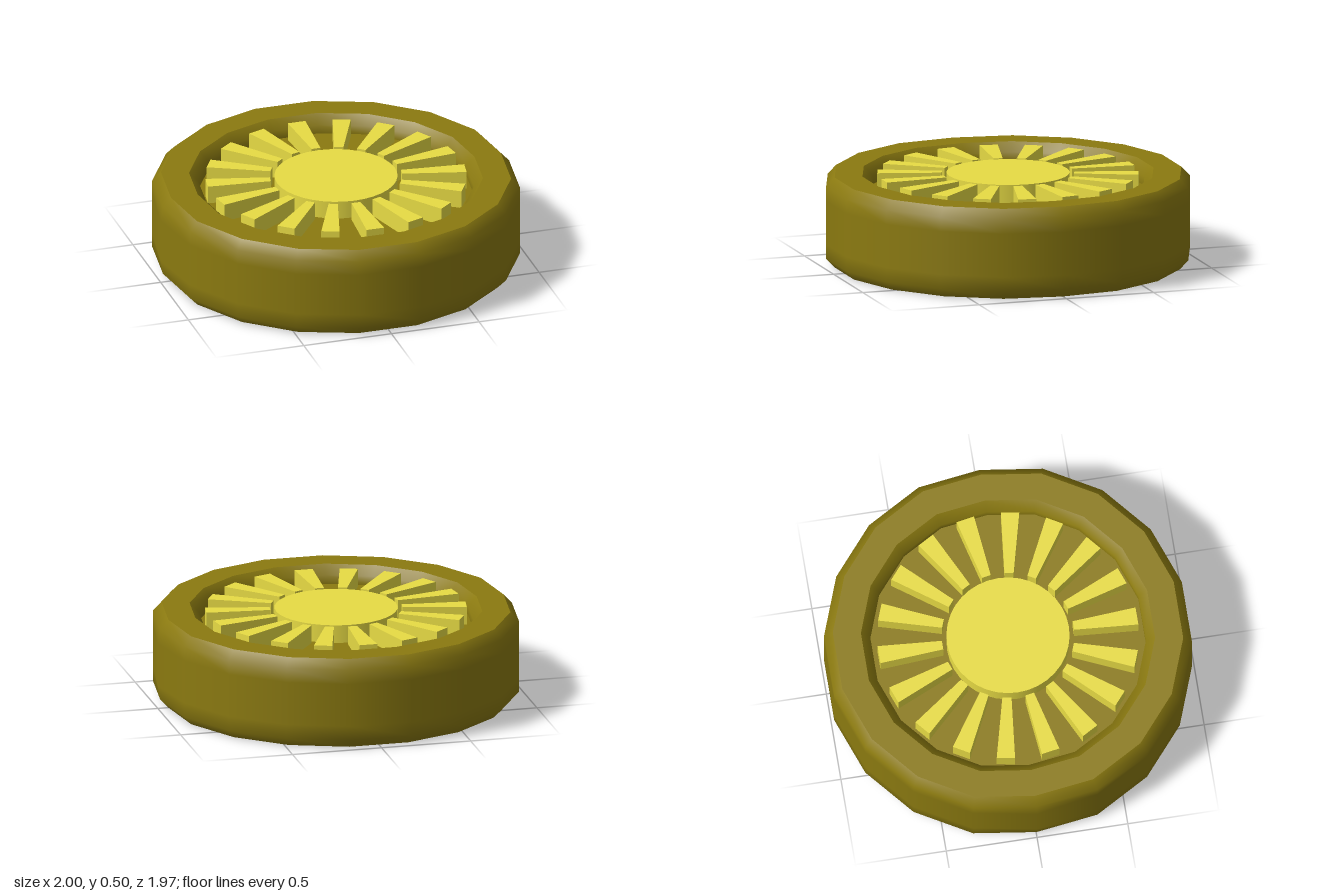
import * as THREE from 'three';

const SIDES = 18;
const tyreMaterial = new THREE.MeshStandardMaterial({ color: 0x8b7a10 });
const hubMaterial = new THREE.MeshStandardMaterial({ color: 0xe8dc44 });

// One smooth band of the tyre, turned from [radius, height] points
function band(name, points) {
  const profile = points.map(([r, y]) => new THREE.Vector2(r, y));
  const geometry = new THREE.LatheGeometry(profile, SIDES, Math.PI / 2);
  const p = geometry.attributes.position;
  // The two corners on the x axis are slightly flattened, except mid-tread
  for (let i = 0; i < p.count; i++) {
    const midTread = Math.abs(p.getX(i)) > 0.99 && Math.abs(p.getY(i) - 0.25) < 0.15;
    if (Math.abs(p.getZ(i)) < 1e-5 && !midTread) p.setX(i, p.getX(i) * 0.987);
  }
  const mesh = new THREE.Mesh(geometry, tyreMaterial);
  mesh.name = name;
  return mesh;
}

export function createModel() {
  const model = new THREE.Group();
  model.name = 'wheel';

  // Tyre with bevelled tread, side walls, recessed wells and central web
  const tyre = new THREE.Group();
  tyre.name = 'tyre';
  tyre.add(
    band('tread', [[0.953, 0], [1, 0.05], [1, 0.13], [1, 0.37], [1, 0.45], [0.953, 0.5]]),
    band('outerSideWall', [[0.953, 0.5], [0.8, 0.5]]),
    band('outerWell', [[0.8, 0.5], [0.75, 0.45], [0.75, 0.4]]),
    band('outerWeb', [[0.75, 0.4], [0.2, 0.4]]),
    band('innerWeb', [[0.2, 0.1], [0.75, 0.1]]),
    band('innerWell', [[0.75, 0.1], [0.75, 0.05], [0.8, 0]]),
    band('innerSideWall', [[0.8, 0], [0.953, 0]])
  );
  model.add(tyre);

  // Hub
  const hub = new THREE.Mesh(new THREE.CylinderGeometry(0.335, 0.335, 0.5, 36), hubMaterial);
  hub.name = 'hub';
  hub.position.y = 0.25;
  model.add(hub);

  // Wedge-shaped spokes, wider towards the rim
  const wedge = new THREE.Shape([
    new THREE.Vector2(-0.025, 0.36), new THREE.Vector2(0.025, 0.36),
    new THREE.Vector2(0.05, 0.71), new THREE.Vector2(-0.05, 0.71)
  ]);
  const spokeGeometry = new THREE.ExtrudeGeometry(wedge, { depth: 0.5, bevelEnabled: false });
  spokeGeometry.rotateX(-Math.PI / 2);
  const spokes = new THREE.Group();
  spokes.name = 'spokes';
  for (let i = 0; i < SIDES; i++) {
    const spoke = new THREE.Mesh(spokeGeometry, hubMaterial);
    spoke.name = 'spoke';
    spoke.rotation.y = (i / SIDES) * Math.PI * 2;
    spokes.add(spoke);
  }
  model.add(spokes);
  return model;
}
